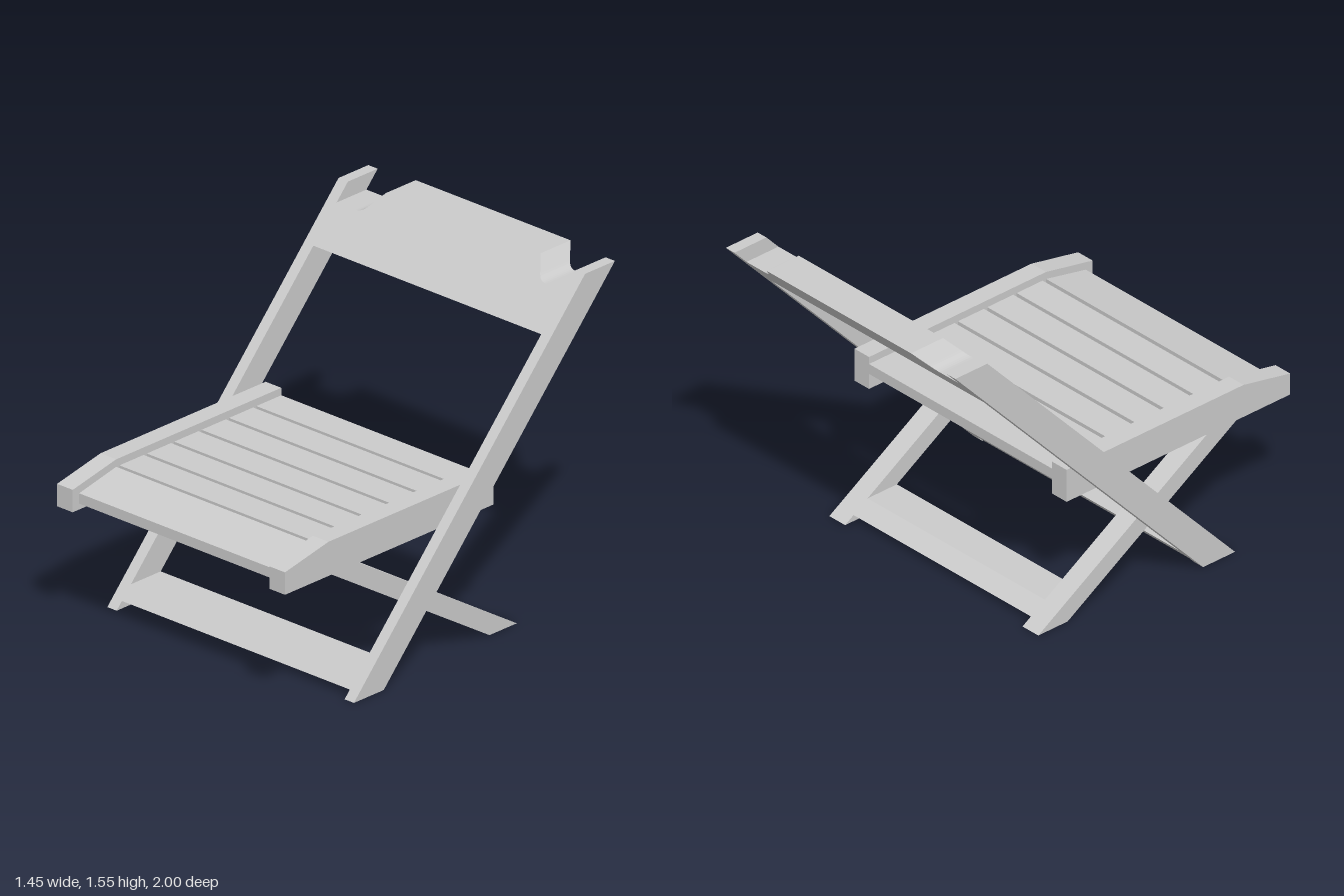
import * as THREE from 'three';

const material = new THREE.MeshStandardMaterial({ color: 0xcccccc, flatShading: true });

const BACK_SLOPE = -0.932; // change of z per unit of height, long frame
const PROP_SLOPE = 1.623;  // same for the short crossing frame

export function createModel() {
  const model = new THREE.Group();
  model.name = 'foldingChair';

  const add = (name, geometry) => {
    const mesh = new THREE.Mesh(geometry, material);
    mesh.name = name;
    model.add(mesh);
  };

  // Extrudes a side profile of [z, y] points across x0..x1
  const across = (name, points, x0, x1) => {
    const shape = new THREE.Shape(points.map(([z, y]) => new THREE.Vector2(z, y)));
    const geometry = new THREE.ExtrudeGeometry(shape, { depth: x1 - x0, bevelEnabled: false });
    geometry.rotateY(-Math.PI / 2).translate(x1, 0, 0);
    add(name, geometry);
  };
  const pair = (name, points, x0, x1) => {
    across(name + 'Left', points, x0, x1);
    across(name + 'Right', points, -x1, -x0);
  };

  // Slanted board section with level top and bottom
  const slanted = (zBack, zFront, slope, y0, y1) => [
    [zBack + slope * y0, y0], [zFront + slope * y0, y0],
    [zFront + slope * y1, y1], [zBack + slope * y1, y1],
  ];
  const longFrame = (y0, y1) => slanted(0.445, 0.63, BACK_SLOPE, y0, y1);
  const shortFrame = (y0, y1) => slanted(-0.45, -0.28, PROP_SLOPE, y0, y1);

  // Long frame: legs that rise to carry the backrest
  pair('longLeg', longFrame(0, 1.54), 0.67, 0.725);
  across('frontStretcher', longFrame(0.035, 0.095), -0.67, 0.67);

  // Short frame crossing under the seat
  pair('shortLeg', shortFrame(0, 0.65), 0.56, 0.66);
  across('rearStretcher', shortFrame(0.03, 0.08), -0.56, 0.56);
  across('seatSupport', shortFrame(0.555, 0.65), -0.56, 0.56);

  // Seat side rails with tapered front
  pair('seatRail', [[-0.295, 0.61], [1, 0.61], [1, 0.715], [0.73, 0.77], [-0.295, 0.77]], 0.578, 0.67);

  // Seat slats
  const edges = [[-0.295, -0.14], [-0.12, 0.03], [0.05, 0.2], [0.22, 0.37], [0.39, 0.54], [0.56, 0.71]];
  edges.forEach(([z0, z1], i) => {
    across('seatSlat' + (i + 1), [[z0, 0.685], [z1, 0.685], [z1, 0.735], [z0, 0.735]], -0.578, 0.578);
  });
  across('frontSlat', [[0.73, 0.685], [0.96, 0.638], [0.96, 0.686], [0.73, 0.735]], -0.578, 0.578);

  // Backrest: front outline with scooped corners, sheared to the slope of the frame
  const outline = new THREE.Shape();
  outline.moveTo(-0.67, 1.31);
  outline.lineTo(0.67, 1.31);
  outline.lineTo(0.67, 1.465);
  outline.lineTo(0.56, 1.465);
  outline.quadraticCurveTo(0.525, 1.465, 0.505, 1.49);
  outline.lineTo(0.455, 1.55);
  outline.lineTo(-0.455, 1.55);
  outline.lineTo(-0.505, 1.49);
  outline.quadraticCurveTo(-0.525, 1.465, -0.56, 1.465);
  outline.lineTo(-0.67, 1.465);
  outline.closePath();
  const backrest = new THREE.ExtrudeGeometry(outline, { depth: 0.185, bevelEnabled: false, curveSegments: 6 });
  const p = backrest.attributes.position;
  for (let i = 0; i < p.count; i++) p.setZ(i, p.getZ(i) + 0.445 + BACK_SLOPE * p.getY(i));
  backrest.computeVertexNormals();
  add('backrest', backrest);

  return model;
}
